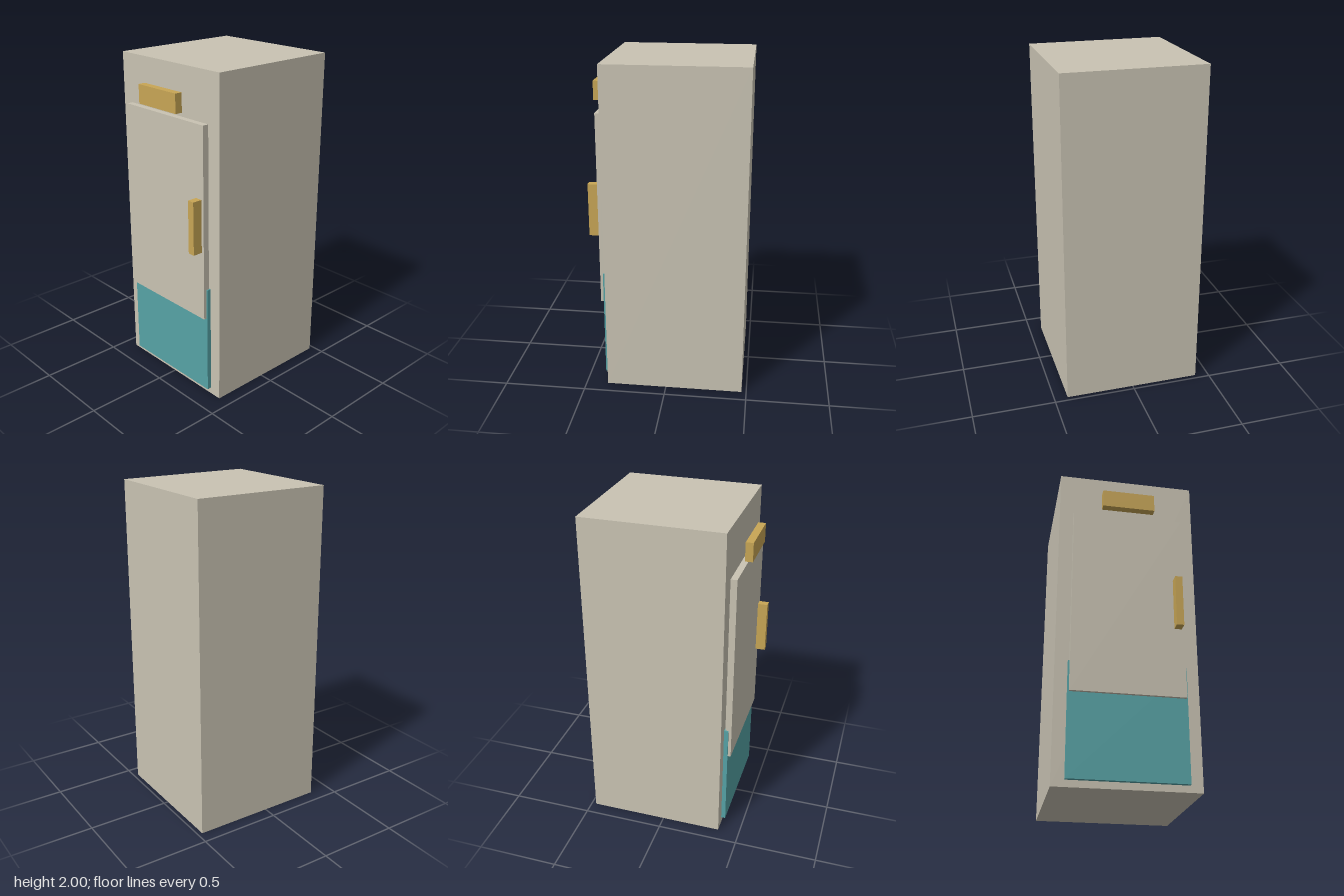
import * as THREE from 'three';

function material(name, color) {
  const m = new THREE.MeshStandardMaterial({ color });
  m.name = name;
  return m;
}

export function createModel() {
  const group = new THREE.Group();
  group.name = 'cabinet';

  const beige = material('beige', 0xc9c3b3);
  const teal = material('teal', 0x56a3a6);
  const gold = material('gold', 0xc8a655);

  // Box given by its limits on each axis
  function addBox(name, mat, [x0, x1], [y0, y1], [z0, z1]) {
    const mesh = new THREE.Mesh(new THREE.BoxGeometry(x1 - x0, y1 - y0, z1 - z0), mat);
    mesh.position.set((x0 + x1) / 2, (y0 + y1) / 2, (z0 + z1) / 2);
    mesh.name = name;
    group.add(mesh);
  }

  // Tall cabinet
  addBox('body', beige, [-0.418, 0.418], [0, 2], [-0.471, 0.367]);
  // Lower front panel, partly behind the door
  addBox('lowerPanel', teal, [-0.343, 0.343], [0.04, 0.72], [0.36, 0.393]);
  // Door
  addBox('door', beige, [-0.335, 0.335], [0.532, 1.71], [0.373, 0.411]);
  // Plate above the door
  addBox('topPlate', gold, [-0.161, 0.161], [1.747, 1.86], [0.409, 0.454]);
  // Vertical door handle
  addBox('handle', gold, [0.274, 0.318], [0.96, 1.282], [0.41, 0.471]);

  return group;
}
